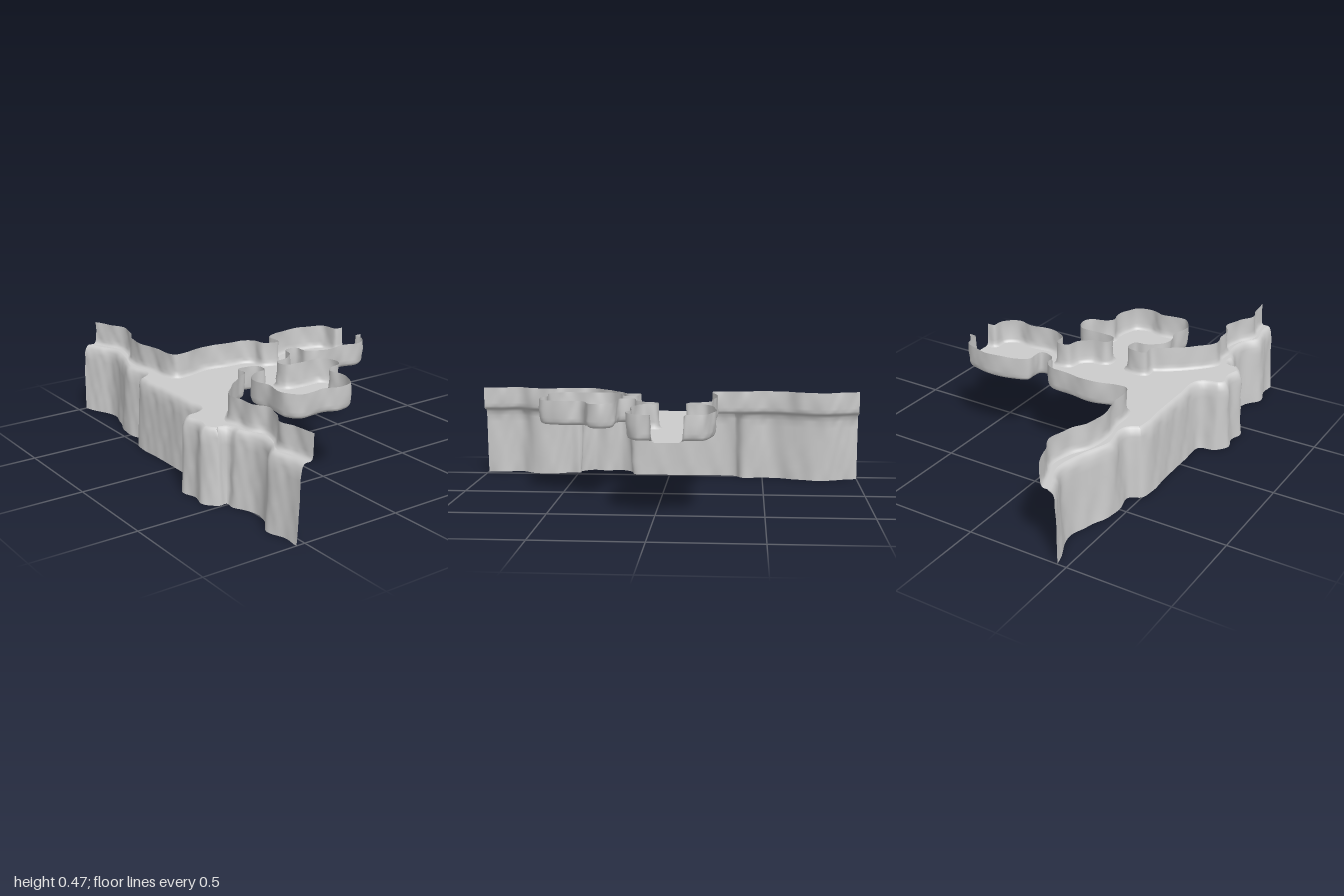
import * as THREE from 'three';

const FLOOR_Y = 0.356, TOP_Y = 0.475;
const rock = new THREE.MeshStandardMaterial({ color: 0xcccccc, side: THREE.DoubleSide });

// Plan paths as [x, z]
const cliffPath = [
  [-0.46, -1], [-0.425, -0.91], [-0.39, -0.83], [-0.415, -0.69], [-0.465, -0.54], [-0.45, -0.4],
  [-0.5, -0.36], [-0.515, -0.29], [-0.51, -0.15], [-0.51, 0.05], [-0.515, 0.19],
  [-0.595, 0.215], [-0.632, 0.265], [-0.617, 0.345], [-0.632, 0.42], [-0.58, 0.49],
  [-0.54, 0.49], [-0.54, 0.54], [-0.5, 0.64], [-0.51, 0.73], [-0.56, 0.81], [-0.54, 0.93], [-0.54, 1],
];
const northPath = [
  [-0.375, -1], [-0.34, -0.91], [-0.305, -0.82], [-0.325, -0.71], [-0.37, -0.62], [-0.385, -0.5],
  [-0.365, -0.39], [-0.36, -0.28], [-0.34, -0.238], [-0.28, -0.24], [-0.16, -0.27], [-0.04, -0.255],
  [0.07, -0.245], [0.115, -0.21], [0.125, -0.15], [0.2, -0.13], [0.21, -0.17], [0.215, -0.225],
  [0.295, -0.26], [0.38, -0.275], [0.48, -0.265], [0.575, -0.225], [0.59, -0.14], [0.63, -0.135],
];
const southPath = [
  [0.63, 0.01], [0.59, 0.015], [0.585, 0.08], [0.515, 0.13], [0.425, 0.115], [0.295, 0.125],
  [0.215, 0.08], [0.205, 0.015], [0.14, 0.015], [0.12, 0.08], [0.065, 0.125], [0, 0.135],
  [-0.015, 0.165], [0, 0.21], [0.08, 0.22], [0.19, 0.225], [0.23, 0.285], [0.21, 0.345],
  [0.135, 0.37], [0.11, 0.4], [0.12, 0.46], [0.11, 0.53], [0.08, 0.59], [0, 0.615], [-0.075, 0.59],
  [-0.21, 0.595], [-0.26, 0.53], [-0.25, 0.4], [-0.265, 0.32], [-0.25, 0.265], [-0.18, 0.22],
  [-0.13, 0.21], [-0.125, 0.145], [-0.18, 0.125], [-0.23, 0.135], [-0.235, 0.195], [-0.29, 0.23],
  [-0.37, 0.295], [-0.43, 0.355], [-0.475, 0.42], [-0.46, 0.495], [-0.46, 0.57], [-0.425, 0.64],
  [-0.445, 0.73], [-0.49, 0.82], [-0.47, 0.9], [-0.46, 1],
];

// Vertical profiles as [inset towards the floor, y]
const cliffProfile = [[0, 0], [0.004, 0.07], [0.007, 0.14], [0.01, 0.21], [0.012, 0.28], [0.015, 0.315],
  [0.021, 0.338], [0.03, 0.351], [0.04, FLOOR_Y]];
const wallProfile = [[0.017, FLOOR_Y], [0.009, 0.361], [0.004, 0.372], [0.002, 0.39], [0, 0.43], [0, TOP_Y]];

// Gentle rock relief, fading out at the floor joint
function relief(x, y, z) {
  const fade = Math.min(1, Math.abs(y - FLOOR_Y) / 0.05);
  return 0.004 * fade * Math.sin(41 * z + 17 * y + 5) * Math.sin(37 * x + 29 * y) +
    0.002 * fade * Math.sin(83 * (x + z)) * Math.sin(60 * y);
}

// Sweeps a vertical profile along a plan path; inward is +1 or -1.
// Returns the mesh and the ring of points that meets the floor.
function sweepWall(name, path, profile, inward, steps) {
  const curve = new THREE.CatmullRomCurve3(path.map(([x, z]) => new THREE.Vector3(x, 0, z)));
  const pos = [], index = [], rim = [], n = profile.length;
  for (let i = 0; i <= steps; i++) {
    const p = curve.getPointAt(i / steps), t = curve.getTangentAt(i / steps);
    // Square off the two ends
    if (i === 0 || i === steps) {
      if (Math.abs(t.x) > Math.abs(t.z) || p.x > 0.6) t.set(Math.sign(t.x), 0, 0);
      else t.set(0, 0, Math.sign(t.z));
    }
    const nx = -t.z * inward, nz = t.x * inward;
    profile.forEach(([inset, y], j) => {
      const d = inset + relief(p.x, y, p.z);
      const x = p.x + nx * d, z = p.z + nz * d;
      pos.push(x, y, z);
      if (y === FLOOR_Y) rim.push(new THREE.Vector2(x, z));
      if (i < steps && j < n - 1) {
        const a = i * n + j, b = a + n;
        if (inward > 0) index.push(a, a + 1, b, b, a + 1, b + 1);
        else index.push(a, b, a + 1, b, b + 1, a + 1);
      }
    });
  }
  const geo = new THREE.BufferGeometry();
  geo.setAttribute('position', new THREE.Float32BufferAttribute(pos, 3));
  geo.setIndex(index);
  geo.computeVertexNormals();
  const mesh = new THREE.Mesh(geo, rock);
  mesh.name = name;
  return { mesh, rim };
}

export function createModel() {
  const group = new THREE.Group();
  group.name = 'caveTerrain';

  // Outer cliff below the floor, and the two room walls above it
  const cliff = sweepWall('cliffFace', cliffPath, cliffProfile, -1, 260);
  const north = sweepWall('northWall', northPath, wallProfile, 1, 280);
  const south = sweepWall('southWall', southPath, wallProfile, 1, 460);

  // Flat floor filling the space between cliff edge and wall feet
  const outline = [...cliff.rim, ...south.rim.reverse(), ...north.rim.reverse()];
  const floorGeo = new THREE.ShapeGeometry(new THREE.Shape(outline));
  floorGeo.rotateX(Math.PI / 2).translate(0, FLOOR_Y, 0);
  const floor = new THREE.Mesh(floorGeo, rock);
  floor.name = 'floor';

  group.add(cliff.mesh, north.mesh, south.mesh, floor);
  return group;
}
